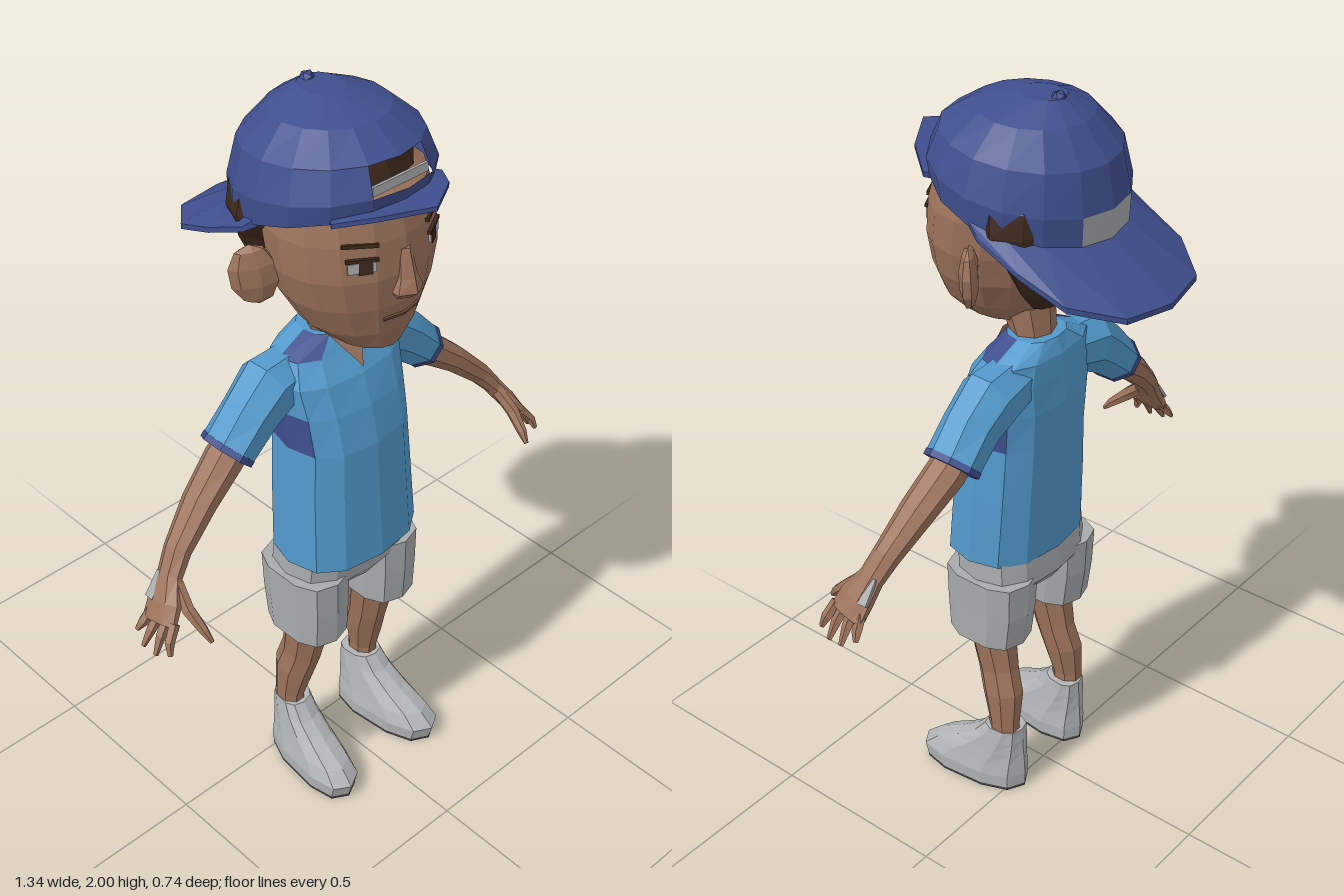
import * as THREE from 'three';

const mat = (name, color) => new THREE.MeshStandardMaterial({ name, color, flatShading: true, side: THREE.DoubleSide });
const V = (x, y, z) => new THREE.Vector3(x, y, z);

// Faceted skin over a list of point rings; keep(j, i) selects quads
function loft(rings, { start = true, end = true, keep = () => true } = {}) {
  const pos = [], n = rings[0].length;
  const tri = (...pts) => pts.forEach((p) => pos.push(p.x, p.y, p.z));
  for (let j = 0; j < rings.length - 1; j++) {
    for (let i = 0; i < n; i++) {
      if (!keep(j, i)) continue;
      const k = (i + 1) % n, a = rings[j], b = rings[j + 1];
      tri(a[i], b[i], a[k]);
      tri(a[k], b[i], b[k]);
    }
  }
  const cap = (r, flip) => {
    const c = r.reduce((s, p) => s.add(p), V(0, 0, 0)).divideScalar(n);
    r.forEach((p, i) => (flip ? tri(c, r[(i + 1) % n], p) : tri(c, p, r[(i + 1) % n])));
  };
  if (start) cap(rings[0], false);
  if (end) cap(rings[rings.length - 1], true);
  const g = new THREE.BufferGeometry();
  g.setAttribute('position', new THREE.Float32BufferAttribute(pos, 3));
  g.computeVertexNormals();
  return g;
}

// Horizontal ring [y, half width, back z, front z]; vertex 0 faces the front
function ring([y, w, zb, zf], { n = 12, x = 0, p = 1, tilt = 0, shear = 0 } = {}) {
  const zc = (zb + zf) / 2, rz = (zf - zb) / 2;
  const pw = (c) => Math.sign(c) * Math.abs(c) ** p;
  return Array.from({ length: n }, (_, i) => {
    const a = Math.PI / 2 + (i / n) * Math.PI * 2;
    const z = zc + rz * pw(Math.sin(a));
    return V(x + w * pw(Math.cos(a)) + shear * z, y + tilt * (z - zc), z);
  });
}
const stack = (rows, o = {}) => rows.map((r) => ring(r, o));

// Tapered limb through [x, y, z, radius along z, radius across]
function limb(rows, s, n = 8) {
  const c = rows.map((r) => V(r[0] * s, r[1], r[2]));
  return loft(rows.map((r, j) => {
    const d = c[Math.min(j + 1, c.length - 1)].clone().sub(c[Math.max(j - 1, 0)]).normalize();
    const u = V(0, 0, 1).addScaledVector(d, -d.z).normalize();
    const v = u.clone().cross(d);
    return Array.from({ length: n }, (_, i) => {
      const a = ((i + 0.5) / n) * Math.PI * 2;
      return c[j].clone().addScaledVector(u, r[3] * Math.cos(a)).addScaledVector(v, r[4] * Math.sin(a));
    });
  }));
}

export function createModel() {
  const skin = mat('skin', 0x9d735c), lip = mat('lip', 0x6e4a3a), hair = mat('hair', 0x3d281c);
  const shirt = mat('shirtBlue', 0x5299cb), navy = mat('navy', 0x3f4f8e);
  const grey = mat('clothGrey', 0xa9abad), shoe = mat('shoeGrey', 0xb2b4b6), sole = mat('soleGrey', 0x444446);
  const model = new THREE.Group();
  const add = (name, g, m, parent = model) => {
    const mesh = new THREE.Mesh(g, m);
    mesh.name = name;
    parent.add(mesh);
    return mesh;
  };
  const box = (name, size, at, rot, m) => {
    const b = add(name, new THREE.BoxGeometry(...size), m);
    b.position.set(...at);
    b.rotation.set(...rot);
    return b;
  };

  // Head and neck
  add('head', loft(stack([
    [1.39, 0.05, 0.07, 0.2], [1.41, 0.08, 0.02, 0.245], [1.47, 0.145, -0.02, 0.265], [1.55, 0.19, -0.06, 0.28],
    [1.63, 0.212, -0.08, 0.285], [1.72, 0.215, -0.1, 0.275], [1.8, 0.2, -0.1, 0.255], [1.85, 0.15, -0.08, 0.18],
  ], { n: 16 })), skin);
  add('neck', loft(stack([[1.27, 0.07, -0.03, 0.09], [1.37, 0.06, -0.025, 0.085], [1.45, 0.07, -0.02, 0.12]], { n: 8 })), skin);
  add('nose', loft(stack([[1.565, 0.03, 0.24, 0.295], [1.585, 0.045, 0.23, 0.318], [1.62, 0.03, 0.23, 0.308],
    [1.69, 0.018, 0.23, 0.288]], { n: 6 })), skin);
  add('hair', loft(stack([
    [1.48, 0.08, -0.07, 0], [1.55, 0.15, -0.115, 0], [1.65, 0.2, -0.155, 0.04], [1.72, 0.232, -0.17, 0.11],
    [1.78, 0.222, -0.17, 0.12], [1.83, 0.19, -0.15, 0.225], [1.9, 0.15, -0.12, 0.2], [1.94, 0.08, -0.06, 0.12],
  ])), hair);

  for (const s of [1, -1]) {
    // Ears and facial features
    const ear = add('ear', new THREE.SphereGeometry(1, 7, 5), skin);
    ear.scale.set(0.06, 0.08, 0.024);
    ear.position.set(0.233 * s, 1.605, 0.03);
    ear.rotation.set(0, 0.6 * s, -0.15 * s);
    box('eye', [0.066, 0.026, 0.008], [0.112 * s, 1.672, 0.251], [-0.05, 0.52 * s, 0], grey);
    box('iris', [0.032, 0.034, 0.009], [0.105 * s, 1.672, 0.256], [-0.05, 0.52 * s, 0], hair);
    box('eyelid', [0.076, 0.008, 0.009], [0.112 * s, 1.69, 0.252], [-0.05, 0.52 * s, 0.06 * s], hair);
    box('brow', [0.085, 0.009, 0.009], [0.112 * s, 1.724, 0.244], [-0.1, 0.52 * s, 0.12 * s], hair);
    box('mouth', [0.055, 0.007, 0.008], [0.027 * s, 1.515, 0.27], [0.15, 0.17 * s, 0], lip);

    // Sleeve with dark hem
    add('sleeve', limb([[0.1, 1.28, 0.015, 0.07, 0.07], [0.185, 1.265, 0.015, 0.08, 0.083],
      [0.25, 1.215, 0.02, 0.074, 0.072], [0.32, 1.15, 0.02, 0.075, 0.062]], s), shirt);
    add('sleeveHem', limb([[0.316, 1.154, 0.02, 0.077, 0.064], [0.328, 1.142, 0.02, 0.077, 0.064]], s), navy);

    // Arm and hand
    add('arm', limb([[0.26, 1.2, 0.02, 0.045, 0.045], [0.34, 1.13, 0.025, 0.053, 0.046], [0.43, 1.06, 0.04, 0.048, 0.038],
      [0.52, 0.975, 0.06, 0.038, 0.03], [0.56, 0.925, 0.075, 0.036, 0.024], [0.595, 0.875, 0.095, 0.052, 0.022],
      [0.622, 0.835, 0.105, 0.055, 0.016]], s), skin);
    const tips = [[0.65, 0.795, 0.052], [0.663, 0.775, 0.09], [0.66, 0.772, 0.132], [0.645, 0.785, 0.17]];
    tips.forEach(([x, y, z], i) => {
      const z0 = 0.066 + i * 0.027;
      add('finger', limb([[0.61, 0.85, z0, 0.014, 0.014], [0.637, 0.815, (z0 + z) / 2, 0.014, 0.012],
        [x, y, z, 0.007, 0.006]], s, 5), skin);
    });
    add('thumb', limb([[0.56, 0.915, 0.1, 0.02, 0.018], [0.568, 0.87, 0.15, 0.019, 0.017],
      [0.56, 0.83, 0.195, 0.014, 0.012], [0.555, 0.805, 0.218, 0.006, 0.006]], s, 6), skin);
    box('handPatch', [0.07, 0.008, 0.024], [0.592 * s, 0.907, 0.06], [0, 0, -0.95 * s], grey);

    // Shorts leg, leg and shoe
    add('shortsLeg', loft(stack([[0.5, 0.08, -0.03, 0.19], [0.6, 0.082, -0.045, 0.195], [0.7, 0.085, -0.05, 0.195]],
      { x: 0.122 * s, p: 0.75, n: 10 })), grey);
    add('leg', limb([[0.138, 0.17, 0.025, 0.045, 0.036], [0.138, 0.22, 0.025, 0.045, 0.036],
      [0.13, 0.31, 0.035, 0.06, 0.046], [0.122, 0.38, 0.055, 0.06, 0.045], [0.118, 0.54, 0.085, 0.07, 0.06]], s), skin);
    const foot = { x: 0.128 * s, shear: 0.1 * s, p: 0.8, n: 10 };
    add('shoe', loft(stack([[0.008, 0.068, -0.033, 0.28], [0.045, 0.07, -0.035, 0.29], [0.08, 0.062, -0.033, 0.25],
      [0.12, 0.055, -0.03, 0.175], [0.16, 0.05, -0.028, 0.115], [0.2, 0.045, -0.026, 0.08]], foot)), shoe);
    add('sole', loft(stack([[0, 0.068, -0.033, 0.28], [0.008, 0.068, -0.033, 0.28]], foot)), sole);
  }

  // Shorts seat
  add('shortsSeat', loft(stack([[0.65, 0.12, -0.03, 0.17], [0.68, 0.19, -0.05, 0.19], [0.77, 0.185, -0.045, 0.2]],
    { p: 0.75 })), grey);

  // Shirt body, with dark underarm and collar panels
  const body = stack([[0.755, 0.195, -0.05, 0.23], [0.95, 0.185, -0.06, 0.215], [1.1, 0.175, -0.065, 0.205],
    [1.2, 0.178, -0.07, 0.18], [1.28, 0.185, -0.065, 0.15], [1.335, 0.16, -0.06, 0.11], [1.375, 0.075, -0.045, 0.085]], { p: 0.8 });
  const dark = (j, i) => (j === 2 && [2, 3, 8, 9].includes(i)) || (j === 5 && [1, 2, 9, 10].includes(i));
  add('shirtBody', loft(body, { keep: (j, i) => !dark(j, i) }), shirt);
  add('shirtPanels', loft(body, { start: false, end: false, keep: dark }), navy);
  const vee = new THREE.Shape([new THREE.Vector2(0, -0.06), new THREE.Vector2(0.055, 0.05), new THREE.Vector2(-0.055, 0.05)]);
  const neckline = add('neckline', new THREE.ShapeGeometry(vee), skin);
  neckline.position.set(0, 1.345, 0.112);
  neckline.rotation.x = -0.68;

  // Backward cap: open arch at the front, grey panel at the back
  const crown = [[1.735, 0.232, -0.2, 0.27, 0.27], [1.8, 0.236, -0.205, 0.28, 0.17], [1.885, 0.208, -0.185, 0.25, 0.1],
    [1.95, 0.14, -0.12, 0.17, 0.05], [1.985, 0.05, -0.06, 0.06, 0]].map((r) => ring(r, { n: 16, tilt: r[4] }));
  const arch = (j, i) => j === 1 && (i === 0 || i === 15);
  const panel = (j, i) => j === 0 && (i === 7 || i === 8);
  add('capCrown', loft(crown, { start: false, keep: (j, i) => !arch(j, i) && !panel(j, i) }), navy);
  add('capBackPanel', loft(crown, { start: false, end: false, keep: panel }), grey);
  const button = add('capButton', new THREE.IcosahedronGeometry(0.02, 0), navy);
  button.position.set(0, 1.981, -0.045);
  box('capStrap', [0.17, 0.022, 0.008], [0, 1.85, 0.25], [-0.1, 0, 0], grey);

  // Thin rim growing from the crown edge out to a mirrored outline
  const rim = (name, first, half, thick) => {
    const outer = [...half, ...half.slice(0, -1).reverse().map(([x, y, z]) => [-x, y, z])];
    add(name, loft(outer.map(([x, y, z], i) => {
      const p = crown[0][(first + i) % 16];
      return [V(p.x * 0.99, p.y + thick, p.z), V(x, y + thick / 2, z), V(x, y - thick / 2, z), V(p.x * 0.97, p.y - thick / 2, p.z)];
    })), navy);
  };
  rim('capBrim', 4, [[-0.237, 1.71, 0.0], [-0.238, 1.655, -0.12], [-0.222, 1.605, -0.24],
    [-0.135, 1.575, -0.345], [0, 1.567, -0.372]], 0.014);
  rim('capFrontBand', 14, [[0.172, 1.785, 0.215], [0.11, 1.812, 0.295], [0, 1.825, 0.365]], 0.012);

  return model;
}
